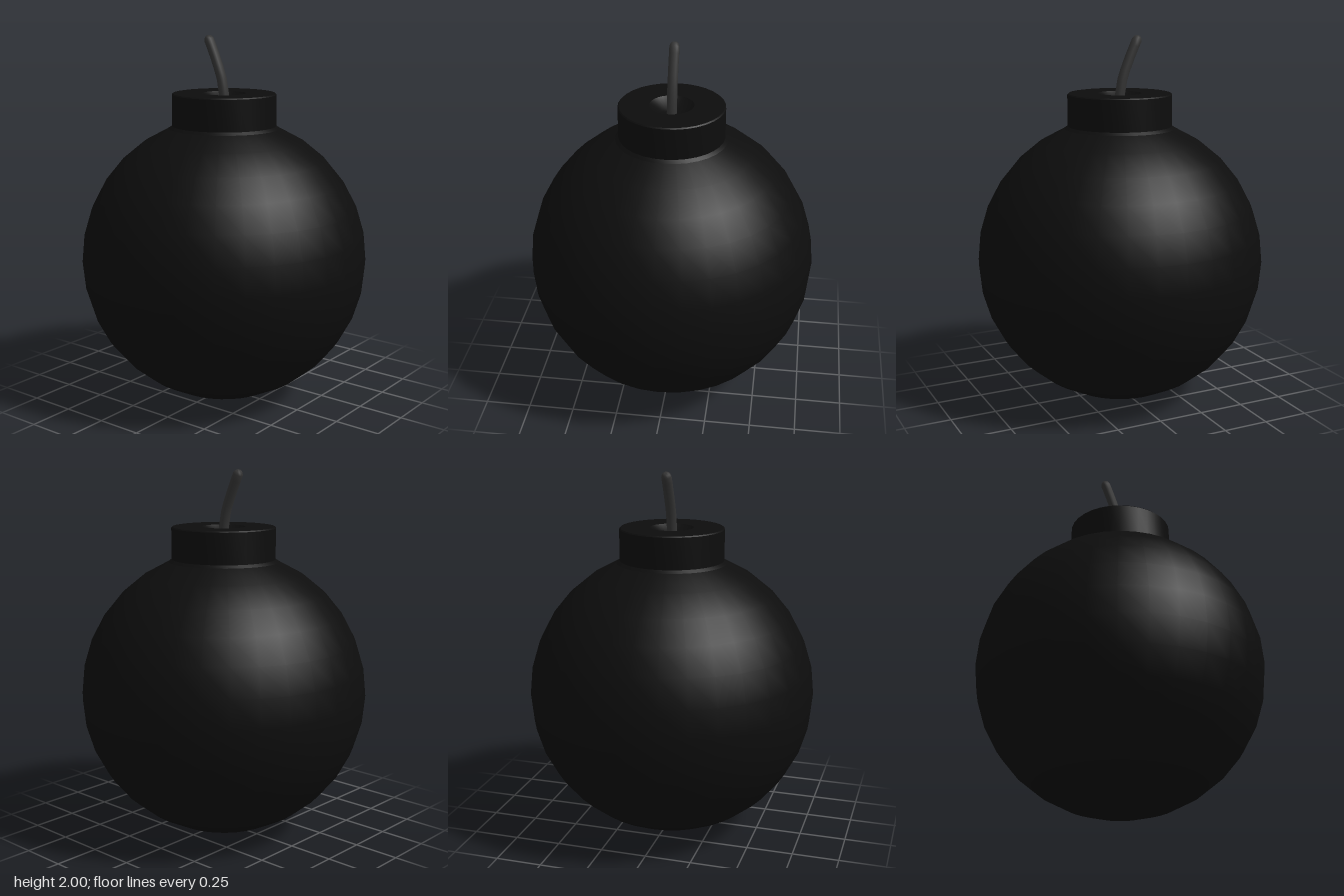
import * as THREE from 'three';
import { toCreasedNormals } from 'three/addons/utils/BufferGeometryUtils.js';

const SEGMENTS = 32;
const v2 = (x, y) => new THREE.Vector2(x, y);

function addPart(group, name, geometry, color) {
  const mesh = new THREE.Mesh(geometry, new THREE.MeshStandardMaterial({ color }));
  mesh.name = name;
  group.add(mesh);
}

function lathe(points, segments = SEGMENTS) {
  return toCreasedNormals(new THREE.LatheGeometry(points, segments), 0.6);
}

// Round cord: a turned profile (radius, position along the curve) bent along a path in the yz plane
function bentCord(curve, profile, sides) {
  const geometry = new THREE.LatheGeometry(profile, sides);
  const pos = geometry.attributes.position;
  for (let i = 0; i < pos.count; i++) {
    const t = pos.getY(i), z = pos.getZ(i);
    const p = curve.getPointAt(t), d = curve.getTangentAt(t);
    pos.setXYZ(i, pos.getX(i), p.y - z * d.z, p.z + z * d.y);
  }
  return toCreasedNormals(geometry, 0.9);
}

export function createModel() {
  const model = new THREE.Group();
  model.name = 'roundBomb';

  // Ball, open at the top where the neck begins
  const radius = 0.782, centerY = 0.785;
  const ball = [];
  for (let i = 0; i <= 14; i++) {
    const a = (i / 16) * Math.PI;
    ball.push(v2(radius * Math.sin(a), centerY - radius * Math.cos(a)));
  }
  addPart(model, 'ball', lathe(ball), 0x0d0d0d);

  // Neck with a softened rim and a shallow dished fuse hole
  addPart(model, 'neck', lathe([
    ball[14], v2(0.282, 1.522), v2(0.282, 1.69), v2(0.276, 1.696),
    v2(0.117, 1.696), v2(0.108, 1.688), v2(0.06, 1.655), v2(0, 1.645),
  ]), 0x0d0d0d);

  // Fuse, leaning backwards with a blunt rounded tip
  const path = new THREE.CatmullRomCurve3([
    [1.63, 0.004], [1.7, -0.003], [1.77, -0.016], [1.84, -0.041], [1.92, -0.075], [1.997, -0.112],
  ].map(([y, z]) => new THREE.Vector3(0, y, z)));
  const fuse = [0, 0.18, 0.36, 0.48, 0.56, 0.7, 0.85, 0.94].map((t) => v2(0.027, t));
  fuse.push(v2(0.021, 0.98), v2(0.011, 1), v2(0, 1));
  addPart(model, 'fuse', bentCord(path, fuse, 10), 0x333333);

  return model;
}
